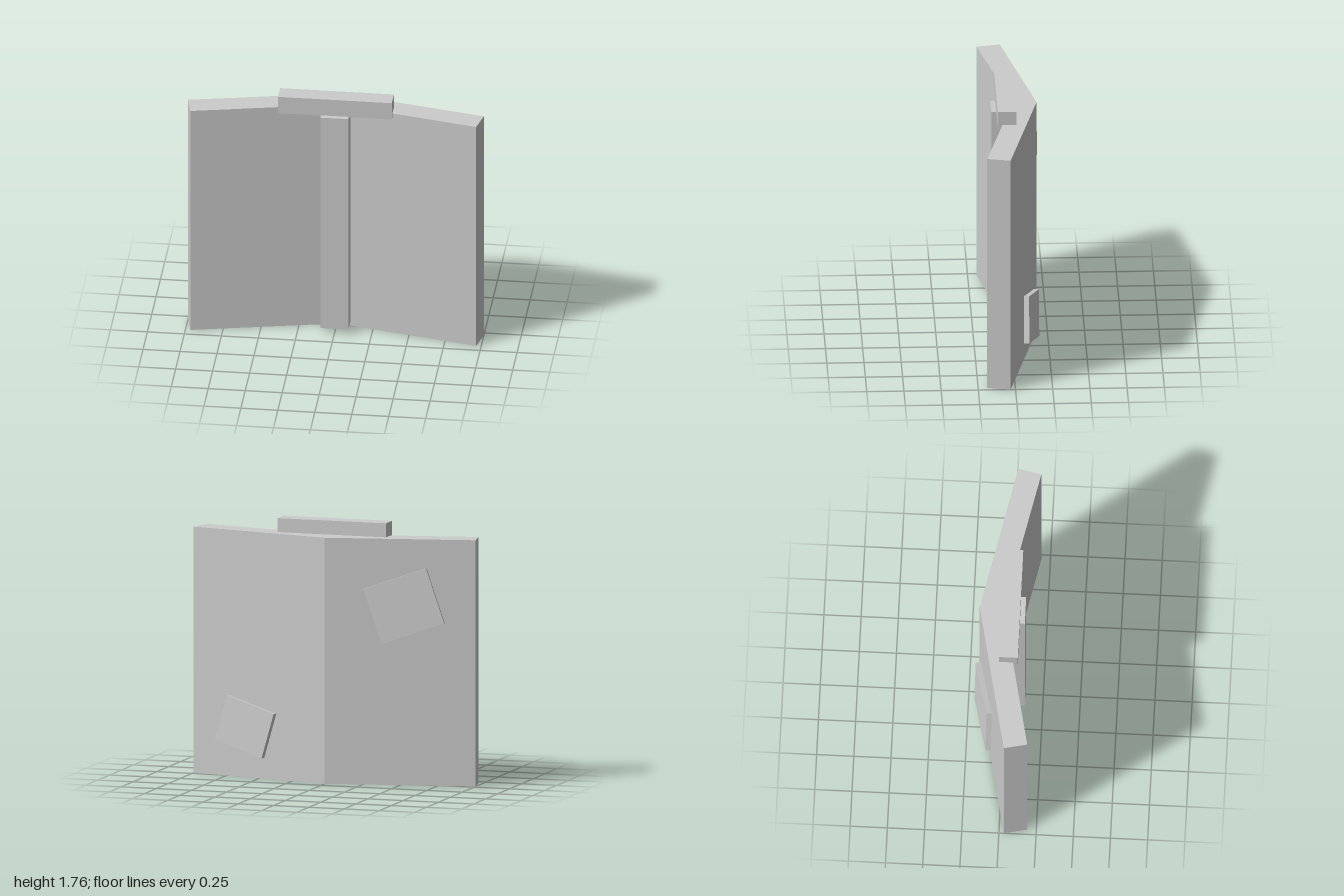
import * as THREE from 'three';

export function createModel() {
  const group = new THREE.Group();
  const grey = new THREE.MeshStandardMaterial({ color: 0xcccccc });
  grey.name = 'light grey';

  function add(name, geometry) {
    const mesh = new THREE.Mesh(geometry, grey);
    mesh.name = name;
    group.add(mesh);
    return mesh;
  }

  // Box given by its size and centre
  function box(name, size, centre) {
    const mesh = add(name, new THREE.BoxGeometry(...size));
    mesh.position.set(...centre);
    return mesh;
  }

  // Panel bent along its middle: plan outline (x, z) raised to full height
  const plan = [[0, -0.178], [1, 0.033], [0.966, 0.189], [0, -0.017], [-0.966, 0.189], [-1, 0.033]];
  const outline = new THREE.Shape(plan.map(([x, z]) => new THREE.Vector2(x, -z)));
  const panel = new THREE.ExtrudeGeometry(outline, { depth: 1.67, bevelEnabled: false });
  panel.rotateX(-Math.PI / 2);
  add('bentPanel', panel);

  // Front spine and the bar across its top
  box('frontSpine', [0.19, 1.605, 0.145], [0, 0.0375 + 0.8025, 0.0575]);
  box('topBar', [0.77, 0.125, 0.125], [0, 1.7025, 0.034]);

  // Back plates, yawed to follow the panel and then rolled
  const plates = [
    { name: 'upperBackPlate', size: [0.447, 0.39, 0.036], at: [-0.546, 1.225, -0.128], yaw: 12, roll: -19.3 },
    { name: 'lowerBackPlate', size: [0.38, 0.317, 0.036], at: [0.579, 0.354, -0.123], yaw: -12, roll: 15.6 },
  ];
  for (const { name, size, at, yaw, roll } of plates) {
    box(name, size, at).rotation.set(
      0, THREE.MathUtils.degToRad(yaw), THREE.MathUtils.degToRad(roll), 'ZYX');
  }

  return group;
}
